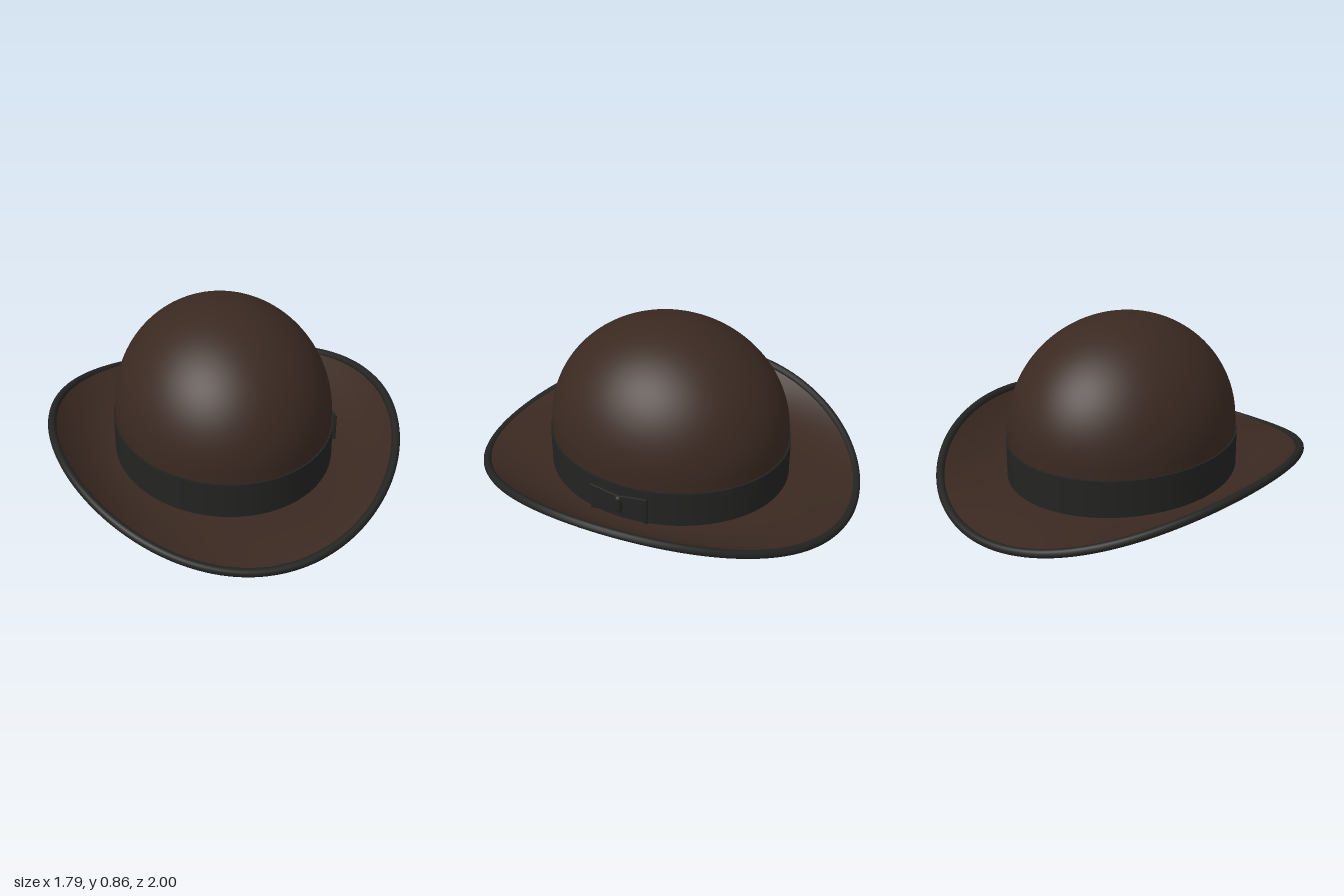
import * as THREE from 'three';
import { mergeVertices } from 'three/addons/utils/BufferGeometryUtils.js';

const SEG = 96;
const STRETCH = 1.127; // the head is an oval, longer front to back

const paint = (color) => new THREE.MeshStandardMaterial({ color, side: THREE.DoubleSide });
const felt = paint(0x3a2921);
const ribbon = paint(0x232322);
const satin = paint(0xa02c2a);
const leather = paint(0x926239);

// Outer edge of the brim: low at front and back, rolled up at the sides
const RIM_X = 0.873, RIM_Z = 0.979;
const rimHeight = (c) => 0.021 + 0.222 * c * c;

function add(group, name, geometry, material) {
  const mesh = new THREE.Mesh(geometry, material);
  mesh.name = name;
  group.add(mesh);
  return mesh;
}

// Oval lathe from [radius, height] pairs
function ovalLathe(points) {
  const geo = new THREE.LatheGeometry(points.map(([r, y]) => new THREE.Vector2(r, y)), SEG);
  return geo.scale(1, 1, STRETCH);
}

// Straight wall followed by an elliptical dome
function domeProfile(radius, base, spring, top) {
  const pts = [[radius, base]];
  for (let i = 0; i <= 32; i++) {
    const a = (i / 32) * Math.PI / 2;
    pts.push([Math.max(radius * Math.cos(a), 0), spring + (top - spring) * Math.sin(a)]);
  }
  return pts;
}

// Brim: lathe a flat slab, then bend it between head opening and rim
function brimGeometry() {
  const half = 0.011, steps = 20, profile = [];
  for (let i = 0; i <= steps; i++) profile.push(new THREE.Vector2(1 + i / steps, -half));
  for (let i = steps; i >= 0; i--) profile.push(new THREE.Vector2(1 + i / steps, half));
  profile.push(profile[0].clone());
  let geo = new THREE.LatheGeometry(profile, SEG);
  const p = geo.attributes.position;
  for (let i = 0; i < p.count; i++) {
    const r = Math.hypot(p.getX(i), p.getZ(i));
    const c = p.getX(i) / r, s = p.getZ(i) / r, t = r - 1;
    const y = 0.054 + (rimHeight(c) - 0.054) * Math.pow(t, 2);
    p.setXYZ(i,
      c * THREE.MathUtils.lerp(0.53, RIM_X, t),
      y + p.getY(i),
      s * THREE.MathUtils.lerp(0.53 * STRETCH, RIM_Z, t));
  }
  geo.deleteAttribute('normal');
  geo.deleteAttribute('uv');
  geo = mergeVertices(geo, 1e-5);
  geo.computeVertexNormals();
  return geo;
}

// Rolled ribbon binding along the brim edge
function bindingGeometry() {
  const pts = [];
  for (let i = 0; i < 64; i++) {
    const a = (i / 64) * Math.PI * 2;
    pts.push(new THREE.Vector3(RIM_X * Math.cos(a), rimHeight(Math.cos(a)), RIM_Z * Math.sin(a)));
  }
  return new THREE.TubeGeometry(new THREE.CatmullRomCurve3(pts, true), 160, 0.021, 12, true);
}

// Flat bow on the left side of the band
function makeBow() {
  const bow = new THREE.Group();
  bow.name = 'bow';
  const shape = new THREE.Shape();
  shape.moveTo(0, -0.045);
  shape.lineTo(0.15, -0.07);
  shape.lineTo(0.15, 0.07);
  shape.lineTo(0, 0.045);
  shape.closePath();
  for (const side of [1, -1]) {
    const geo = new THREE.ExtrudeGeometry(shape, {
      depth: 0.008, bevelEnabled: true, bevelThickness: 0.003, bevelSize: 0.003, bevelSegments: 2,
    });
    const wing = add(bow, side > 0 ? 'frontBowLoop' : 'backBowLoop', geo, ribbon);
    wing.rotation.y = side > 0 ? -Math.PI / 2 : Math.PI / 2;
    wing.position.x = side > 0 ? 0.011 : 0;
  }
  const knot = add(bow, 'bowKnot', new THREE.CapsuleGeometry(0.02, 0.06, 6, 16), ribbon);
  knot.position.x = 0.008;
  bow.position.set(0.557, 0.15, 0);
  return bow;
}

export function createModel() {
  const hat = new THREE.Group();
  hat.name = 'hat';

  add(hat, 'crown', ovalLathe(domeProfile(0.55, 0.05, 0.3, 0.865)), felt);
  add(hat, 'brim', brimGeometry(), felt);
  add(hat, 'brimBinding', bindingGeometry(), ribbon);

  // Band around the foot of the crown, with a closed upper edge
  const band = new THREE.Group();
  band.name = 'hatBand';
  add(band, 'bandWall', ovalLathe([[0.559, 0.05], [0.559, 0.255]]), ribbon);
  add(band, 'bandTopEdge', ovalLathe([[0.559, 0.255], [0.545, 0.255]]), ribbon);
  hat.add(band, makeBow());

  // Inside of the hat
  add(hat, 'lining', ovalLathe(domeProfile(0.532, 0.06, 0.3, 0.845)), satin);
  add(hat, 'sweatband', ovalLathe([[0.522, 0.048], [0.522, 0.235]]), leather);
  add(hat, 'sweatbandTopEdge', ovalLathe([[0.522, 0.235], [0.532, 0.235]]), leather);

  return hat;
}
